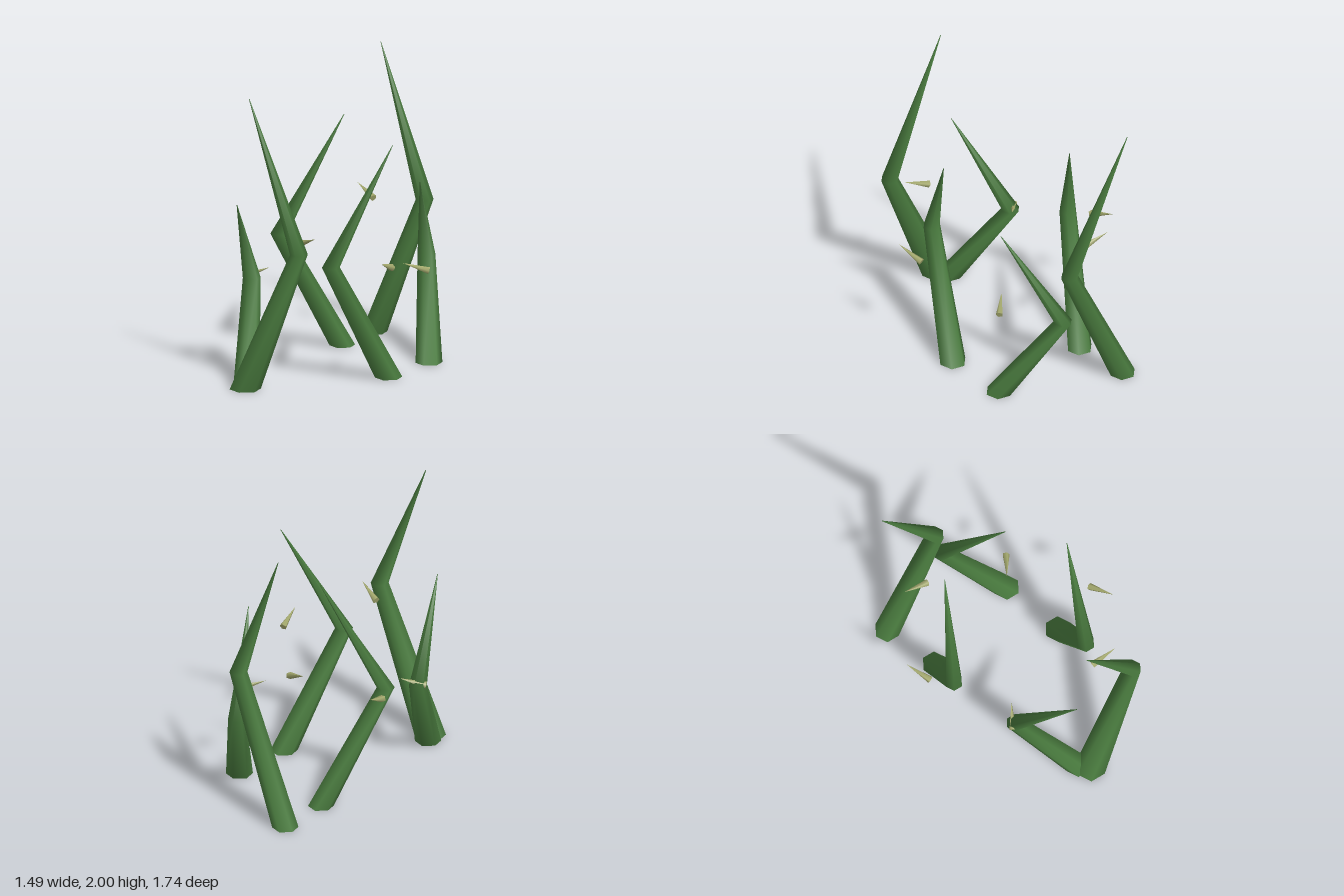
import * as THREE from 'three';

const SIDES = 6;

// Bent vine: horizontal hexagon rings at base and elbow, tapering to a point
function vineGeometry(base, baseR, elbow, elbowR, tip) {
  const rings = [[base, baseR], [elbow, elbowR], [tip, 0.002]];
  const pos = [], idx = [];
  const addRing = ([c, r]) => {
    for (let i = 0; i < SIDES; i++) {
      const a = (i / SIDES) * Math.PI * 2;
      pos.push(c[0] + r * Math.cos(a), c[1], c[2] + r * Math.sin(a));
    }
  };
  rings.forEach(addRing);
  for (let k = 0; k < rings.length - 1; k++) {
    for (let i = 0; i < SIDES; i++) {
      const j = (i + 1) % SIDES;
      const a = k * SIDES + i, b = k * SIDES + j;
      idx.push(a, a + SIDES, b, b, a + SIDES, b + SIDES);
    }
  }
  // Separate ring for a flat bottom cap
  const cap = rings.length * SIDES;
  addRing(rings[0]);
  for (let i = 1; i < SIDES - 1; i++) idx.push(cap, cap + i, cap + i + 1);

  const geo = new THREE.BufferGeometry();
  geo.setAttribute('position', new THREE.Float32BufferAttribute(pos, 3));
  geo.setIndex(idx);
  geo.computeVertexNormals();
  return geo;
}

export function createModel() {
  const model = new THREE.Group();
  model.name = 'thornyVines';

  const vineGreen = new THREE.MeshStandardMaterial({ color: 0x4a7c3f });
  vineGreen.name = 'vineGreen';
  const thornTan = new THREE.MeshStandardMaterial({ color: 0xa8ad70 });
  thornTan.name = 'thornTan';

  // Vines: base, base radius, elbow, elbow radius, tip
  const vines = [
    ['tallFrontVine', [-0.645, 0, 0.525], 0.105, [-0.318, 1, 0.815], 0.06, [-0.615, 2, 0.495]],
    ['tallBackVine', [0.375, 0, -0.8], 0.088, [0.675, 1, -0.467], 0.06, [0.423, 2, -0.835]],
    ['middleBackVine', [0.125, 0, -0.493], 0.086, [-0.312, 0.82, -0.378], 0.06, [0.13, 1.62, -0.425]],
    ['middleFrontVine', [0.34, 0, 0.34], 0.092, [-0.068, 0.82, 0.513], 0.06, [0.36, 1.62, 0.4]],
    ['shortRightVine', [-0.627, 0, 0.44], 0.088, [-0.543, 0.63, 0.02], 0.06, [-0.69, 1.25, 0.43]],
    ['shortLeftVine', [0.65, 0, 0.008], 0.09, [0.683, 0.63, -0.427], 0.06, [0.59, 1.25, 0]],
  ];
  for (const [name, ...dims] of vines) {
    const vine = new THREE.Mesh(vineGeometry(...dims), vineGreen);
    vine.name = name;
    model.add(vine);
  }

  // Thorns: small cones from a root to a point
  const thorns = [
    ['frontLeftThorn', [0.338, 0.815, 0.55], [0.25, 0.885, 0.705]],
    ['backLeftThorn', [0.338, 1.0, -0.535], [0.25, 1.07, -0.69]],
    ['frontRightThorn', [-0.285, 1.0, 0.55], [-0.197, 1.07, 0.705]],
    ['backRightThorn', [-0.285, 0.815, -0.535], [-0.197, 0.885, -0.69]],
    ['leftThorn', [0.65, 0.637, 0.003], [0.473, 0.693, 0.003]],
    ['rightThorn', [-0.595, 0.637, 0.003], [-0.418, 0.693, 0.003]],
  ];
  const up = new THREE.Vector3(0, 1, 0);
  for (const [name, from, to] of thorns) {
    const root = new THREE.Vector3(...from);
    const dir = new THREE.Vector3(...to).sub(root);
    const length = dir.length();
    const thorn = new THREE.Mesh(new THREE.ConeGeometry(0.025, length, 5), thornTan);
    thorn.name = name;
    thorn.position.copy(root).addScaledVector(dir, 0.5);
    thorn.quaternion.setFromUnitVectors(up, dir.normalize());
    model.add(thorn);
  }

  return model;
}
